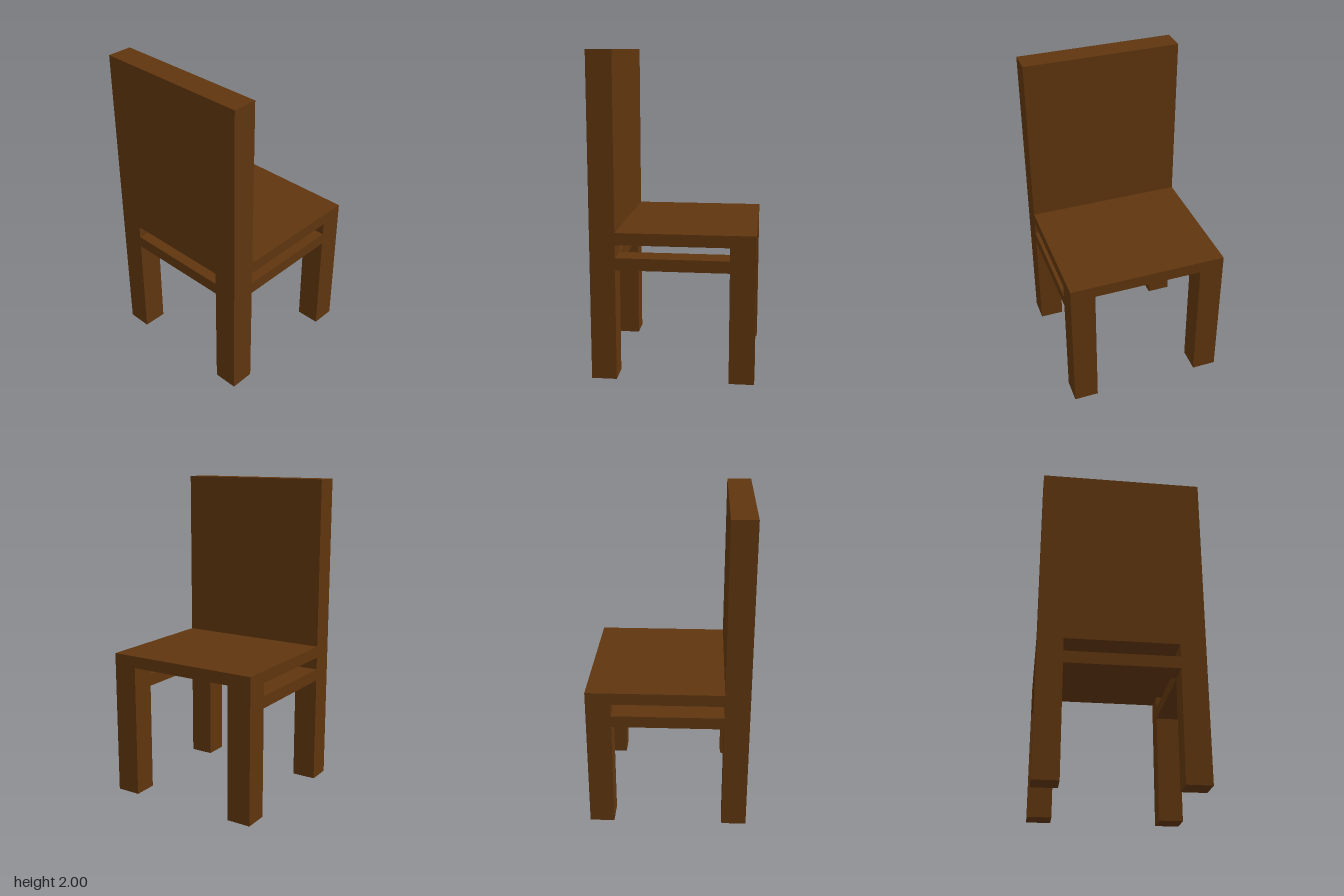
import * as THREE from 'three';

export function createModel() {
  const chair = new THREE.Group();
  chair.name = 'chair';
  const wood = new THREE.MeshStandardMaterial({ color: 0x5f350e });
  wood.name = 'brownWood';

  const half = 0.5;        // half the footprint
  const post = 0.155;      // thickness of legs, rails and backrest
  const inner = half - post;
  const seatBottom = 0.85, seatTop = 0.925;
  const railBottom = 0.695, railTop = 0.77;

  // Box between two opposite corners
  function block(name, [x0, y0, z0], [x1, y1, z1]) {
    const mesh = new THREE.Mesh(new THREE.BoxGeometry(x1 - x0, y1 - y0, z1 - z0), wood);
    mesh.position.set((x0 + x1) / 2, (y0 + y1) / 2, (z0 + z1) / 2);
    mesh.name = name;
    chair.add(mesh);
  }

  // Seat and tall solid backrest; the chair looks towards +x
  block('seat', [-inner, seatBottom, -half], [half, seatTop, half]);
  block('backrest', [-half, seatBottom, -half], [-inner, 2, half]);

  // Legs and side rails, mirrored across z
  for (const [side, z] of [['left', -half], ['right', inner]]) {
    block(`${side}BackLeg`, [-half, 0, z], [-inner, seatBottom, z + post]);
    block(`${side}FrontLeg`, [inner, 0, z], [half, seatBottom, z + post]);
    block(`${side}Rail`, [-inner, railBottom, z], [inner, railTop, z + post]);
  }

  // Rail under the backrest; the front stays open
  block('backRail', [-half, railBottom, -inner], [-inner, railTop, inner]);

  return chair;
}
